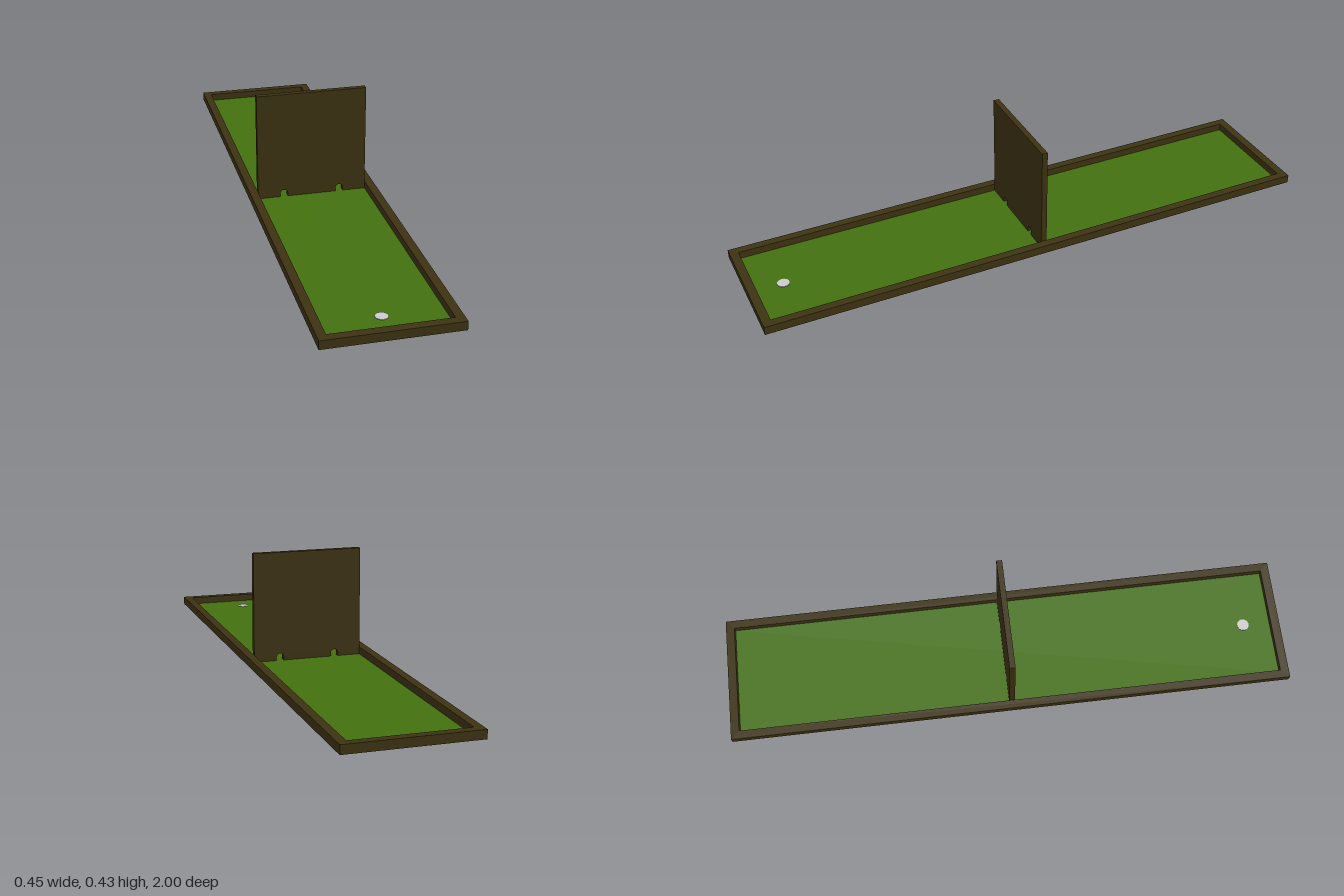
import * as THREE from 'three';

export function createModel() {
  const group = new THREE.Group();
  const wood = new THREE.MeshStandardMaterial({ color: 0x3d3212 });
  const turf = new THREE.MeshStandardMaterial({ color: 0x44700f });
  const metal = new THREE.MeshStandardMaterial({ color: 0xcccccc });

  function add(name, geometry, material, x, y, z) {
    const mesh = new THREE.Mesh(geometry, material);
    mesh.name = name;
    mesh.position.set(x, y, z);
    group.add(mesh);
  }

  const halfW = 0.223, innerW = 0.194, innerL = 0.97;
  const base = 0.04, rimTop = 0.07, turfTop = 0.044;

  // Raised rim around the lane, one extruded ring
  const rim = new THREE.Shape([
    new THREE.Vector2(-halfW, -1), new THREE.Vector2(halfW, -1),
    new THREE.Vector2(halfW, 1), new THREE.Vector2(-halfW, 1),
  ]);
  rim.holes.push(new THREE.Path([
    new THREE.Vector2(-innerW, -innerL), new THREE.Vector2(-innerW, innerL),
    new THREE.Vector2(innerW, innerL), new THREE.Vector2(innerW, -innerL),
  ]));
  const rimGeometry = new THREE.ExtrudeGeometry(rim, { depth: rimTop - base, bevelEnabled: false });
  rimGeometry.rotateX(-Math.PI / 2);
  add('rim', rimGeometry, wood, 0, base, 0);

  // Thin putting surface
  add('turf', new THREE.BoxGeometry(innerW * 2, 0.003, innerL * 2), turf, 0, turfTop - 0.0015, 0);

  // Upright obstacle with two small arched ball tunnels
  const r = 0.013, straight = 0.012;
  const wall = new THREE.Shape();
  wall.moveTo(-innerW, 0);
  for (const x of [-0.1, 0.1]) {
    wall.lineTo(x - r, 0);
    wall.lineTo(x - r, straight);
    wall.absarc(x, straight, r, Math.PI, 0, true);
    wall.lineTo(x + r, 0);
  }
  wall.lineTo(innerW, 0);
  wall.lineTo(innerW, 0.428 - turfTop);
  wall.lineTo(-innerW, 0.428 - turfTop);
  wall.closePath();
  add('obstacleWall',
    new THREE.ExtrudeGeometry(wall, { depth: 0.02, bevelEnabled: false, curveSegments: 10 }),
    wood, 0, turfTop, -0.01);

  // Cup sunk through the turf near the front end
  add('cup', new THREE.CylinderGeometry(0.021, 0.021, 0.046, 32), metal, 0, 0.023, 0.873);

  return group;
}
